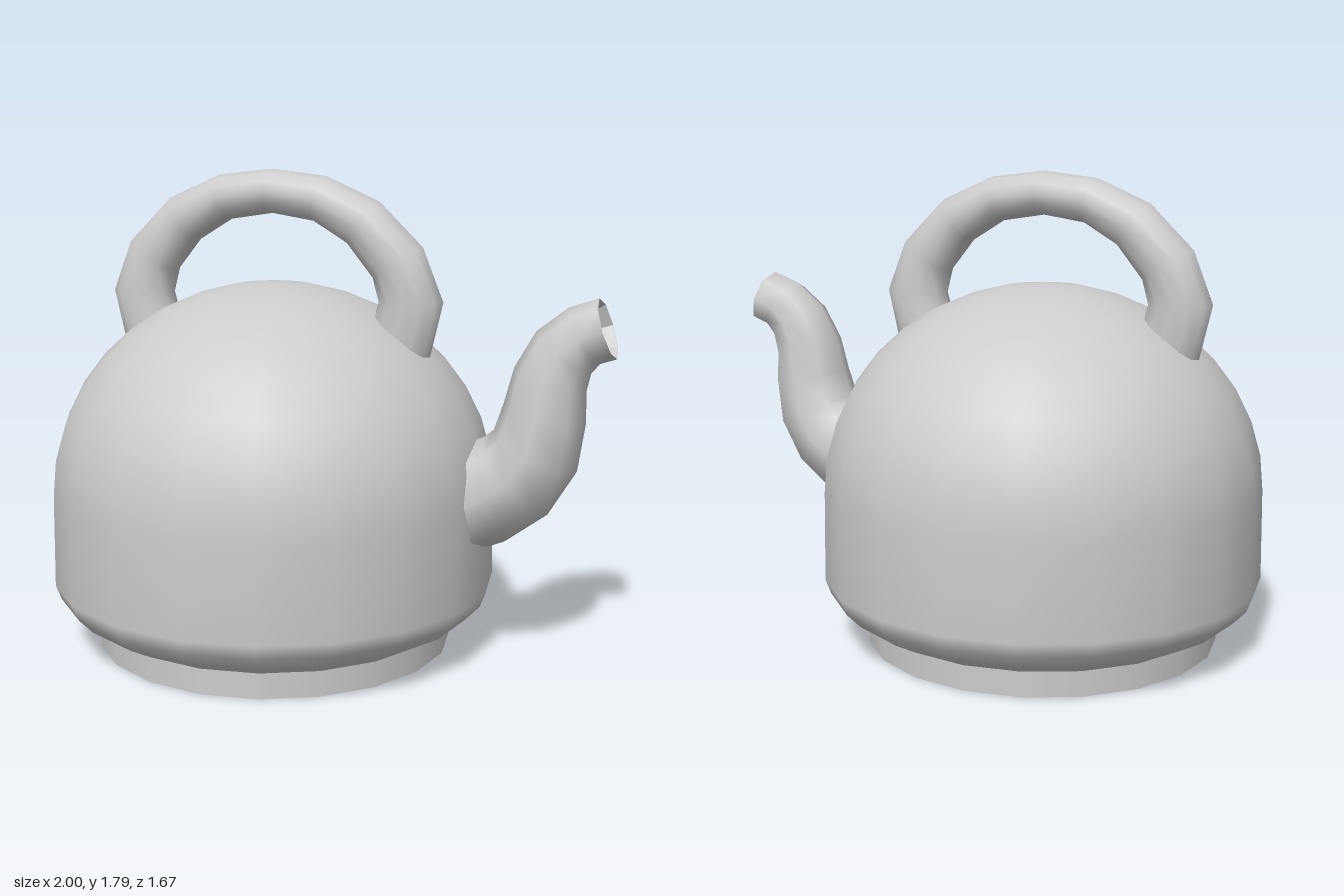
import * as THREE from 'three';

const SIDES = 20;

// Skins a tube along stations [x, y, in-plane radius, sideways radius] lying in the xy plane
function skin(stations, sides) {
  const pos = [], index = [], n = stations.length;
  stations.forEach(([x, y, t, w], i) => {
    const a = stations[Math.max(i - 1, 0)], b = stations[Math.min(i + 1, n - 1)];
    const len = Math.hypot(b[0] - a[0], b[1] - a[1]);
    const nx = -(b[1] - a[1]) / len, ny = (b[0] - a[0]) / len;
    for (let j = 0; j < sides; j++) {
      const q = (j / sides) * Math.PI * 2, c = Math.cos(q) * t;
      pos.push(x + nx * c, y + ny * c, Math.sin(q) * w);
    }
  });
  for (let i = 0; i < n - 1; i++) {
    for (let j = 0; j < sides; j++) {
      const k = (j + 1) % sides;
      const a = i * sides + j, b = i * sides + k;
      index.push(a, b, a + sides, b, b + sides, a + sides);
    }
  }
  const geo = new THREE.BufferGeometry();
  geo.setAttribute('position', new THREE.Float32BufferAttribute(pos, 3));
  geo.setIndex(index);
  geo.computeVertexNormals();
  return geo;
}

export function createModel() {
  const model = new THREE.Group();
  model.name = 'kettle';
  const metal = new THREE.MeshStandardMaterial({ color: 0xcccccc, side: THREE.DoubleSide });
  metal.name = 'light grey';

  // Handle and spout share one upright plane, turned towards the front left
  const kettle = new THREE.Group();
  kettle.name = 'kettleParts';
  kettle.position.x = -0.17;
  kettle.rotation.y = -THREE.MathUtils.degToRad(28);
  model.add(kettle);

  const add = (name, geo) => {
    const mesh = new THREE.Mesh(geo, metal);
    mesh.name = name;
    kettle.add(mesh);
    return mesh;
  };

  // Foot ring
  add('base', new THREE.CylinderGeometry(0.68, 0.68, 0.095, SIDES)).position.y = 0.0475;

  // Rounded shoulder, nearly straight wall, domed top
  const profile = [[0.68, 0.095], [0.77, 0.145], [0.822, 0.2], [0.843, 0.255], [0.838, 0.6]]
    .map(([r, y]) => new THREE.Vector2(r, y));
  for (let i = 1; i <= 9; i++) {
    const a = (i / 9) * Math.PI / 2;
    profile.push(new THREE.Vector2(i === 9 ? 0 : 0.838 * Math.cos(a), 0.6 + 0.775 * Math.sin(a)));
  }
  add('body', new THREE.LatheGeometry(profile, SIDES));

  // Arched handle, thicker towards its feet
  const half = [
    [-0.42, 1.02, 0.12, 0.095], [-0.5, 1.16, 0.122, 0.095], [-0.54, 1.32, 0.122, 0.095],
    [-0.49, 1.46, 0.11, 0.095], [-0.36, 1.6, 0.098, 0.095], [-0.19, 1.685, 0.085, 0.095],
  ];
  const mirrored = half.map(([x, ...rest]) => [-x, ...rest]).reverse();
  add('handle', skin([...half, [0, 1.71, 0.081, 0.095], ...mirrored], 12));

  // Curved, tapering spout
  const path = [
    [0.68, 0.58, 0.2], [0.82, 0.635, 0.195], [0.94, 0.71, 0.18], [1.01, 0.81, 0.165],
    [1.04, 0.95, 0.15], [1.055, 1.07, 0.134], [1.1, 1.17, 0.121], [1.17, 1.232, 0.112], [1.25, 1.26, 0.11],
  ].map(([x, y, r]) => [x, y, r, r]);
  add('spout', skin(path, 8));

  // Faceted inside of the mouth, closed by a small floor
  const mouth = skin([
    [1.25, 1.26, 0.11, 0.11], [1.155, 1.23, 0.075, 0.075], [1.15, 1.2284, 0.001, 0.001],
  ], 8).toNonIndexed();
  mouth.computeVertexNormals();
  add('spoutMouth', mouth);

  return model;
}
